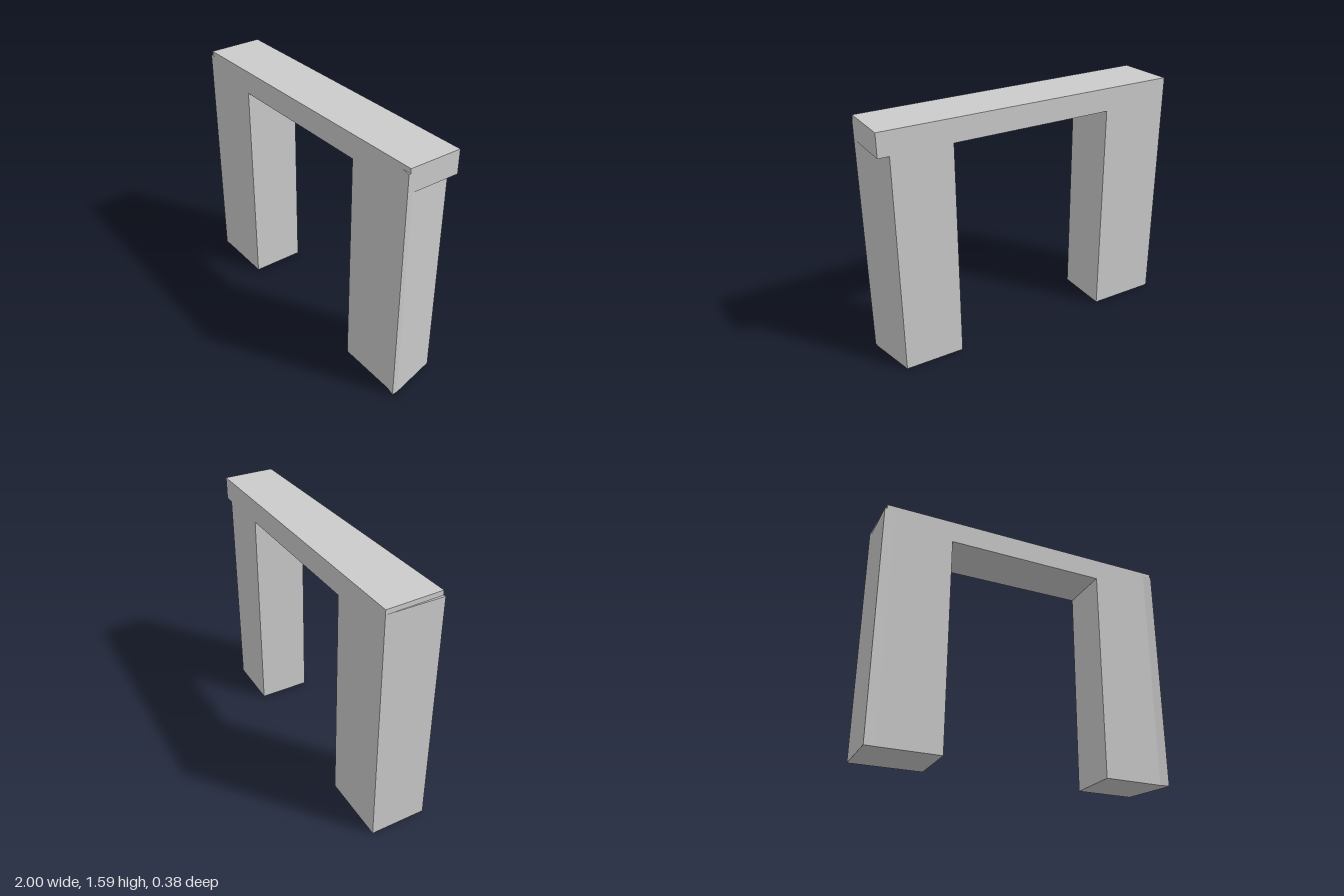
import * as THREE from 'three';

const material = new THREE.MeshStandardMaterial({ color: 0xcccccc, flatShading: true });

const FRONT = 0.179;
const OPENING = 0.54;
const LINTEL_BOTTOM = 1.44, CAP_BOTTOM = 1.56, TOP = 1.59;

// The rear wall runs slightly out of square
const back = (x) => -0.178 + 0.012 * x;

// Upright prism raised from a plan outline of [x, z] points
function prism(name, plan, y0, y1) {
  const shape = new THREE.Shape(plan.map(([x, z]) => new THREE.Vector2(x, -z)));
  const geometry = new THREE.ExtrudeGeometry(shape, { depth: y1 - y0, bevelEnabled: false });
  geometry.rotateX(-Math.PI / 2);
  geometry.translate(0, y0, 0);
  const mesh = new THREE.Mesh(geometry, material);
  mesh.name = name;
  return mesh;
}

export function createModel() {
  const group = new THREE.Group();
  group.name = 'gateway';

  // Outer corners of the front, flared a little at both ends
  const leftFront = [[0.94, FRONT], [1, 0.19]];
  const rightFront = [[-1, 0.182], [-0.93, FRONT]];

  // Left pillar: its outer face tapers inward to the rear, under the lintel
  group.add(prism('leftPillar', [
    [OPENING, FRONT], ...leftFront, [1, 0.155], [0.93, back(0.93)], [OPENING, back(OPENING)],
  ], 0, LINTEL_BOTTOM));

  // Right pillar: full depth
  group.add(prism('rightPillar', [
    ...rightFront, [-OPENING, FRONT], [-OPENING, back(-OPENING)], [-1, back(-1)],
  ], 0, LINTEL_BOTTOM));

  // Lintel across both pillars
  group.add(prism('lintel', [
    ...rightFront, ...leftFront, [1, back(1)], [-1, back(-1)],
  ], LINTEL_BOTTOM, CAP_BOTTOM));

  // Thin top course, set back at its right front corner
  group.add(prism('topCourse', [
    [-0.985, FRONT], [1, FRONT], [1, back(1)], [-1, back(-1)],
  ], CAP_BOTTOM, TOP));

  return group;
}
